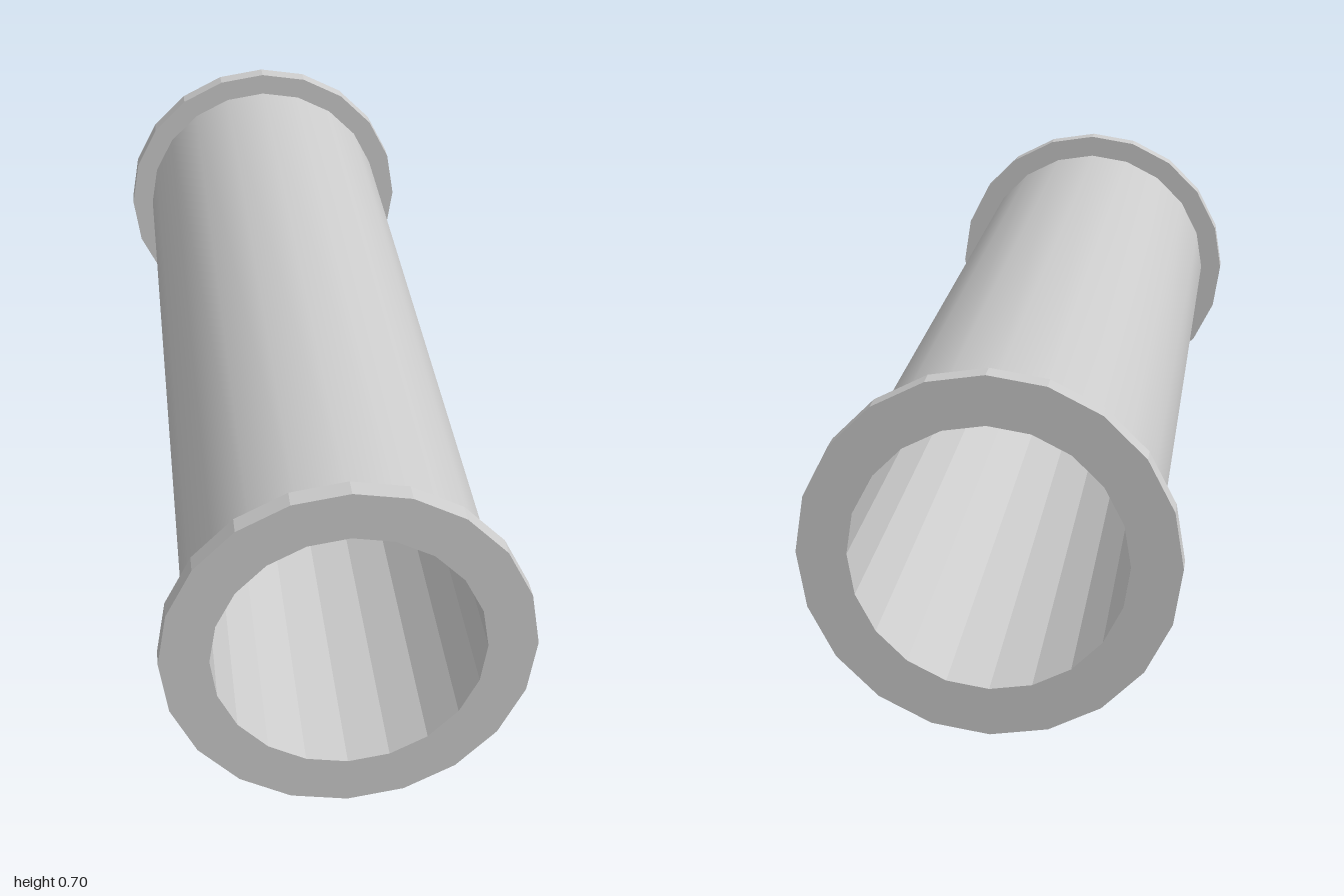
import * as THREE from 'three';

const SIDES = 20;
const FLANGE_R = 0.348, PIPE_R = 0.297, BORE_R = 0.255;
const HALF = 1, FLANGE_T = 0.04;

// Revolves a [radius, z] profile around the z axis
function revolve(name, profile, flatShading) {
  const points = profile.map(([r, z]) => new THREE.Vector2(r, z));
  const geometry = new THREE.LatheGeometry(points, SIDES).rotateX(Math.PI / 2);
  const mesh = new THREE.Mesh(geometry, new THREE.MeshStandardMaterial({ color: 0xcccccc, flatShading }));
  mesh.name = name;
  return mesh;
}

export function createModel() {
  const model = new THREE.Group();
  model.name = 'flangedPipe';
  const inner = HALF - FLANGE_T;

  // Smooth outer wall and faceted bore
  model.add(revolve('pipeWall', [[PIPE_R, -inner], [PIPE_R, inner]], false));
  model.add(revolve('pipeBore', [[BORE_R, HALF], [BORE_R, -HALF]], true));

  // Faceted flange at each end
  const flangeProfile = [[PIPE_R, inner], [FLANGE_R, inner], [FLANGE_R, HALF], [BORE_R, HALF]];
  for (const [name, turn] of [['frontFlange', 0], ['backFlange', Math.PI]]) {
    const flange = revolve(name, flangeProfile, true);
    flange.rotation.y = turn;
    model.add(flange);
  }

  // Rest the flanges on the ground
  for (const part of model.children) part.position.y = FLANGE_R;
  return model;
}
